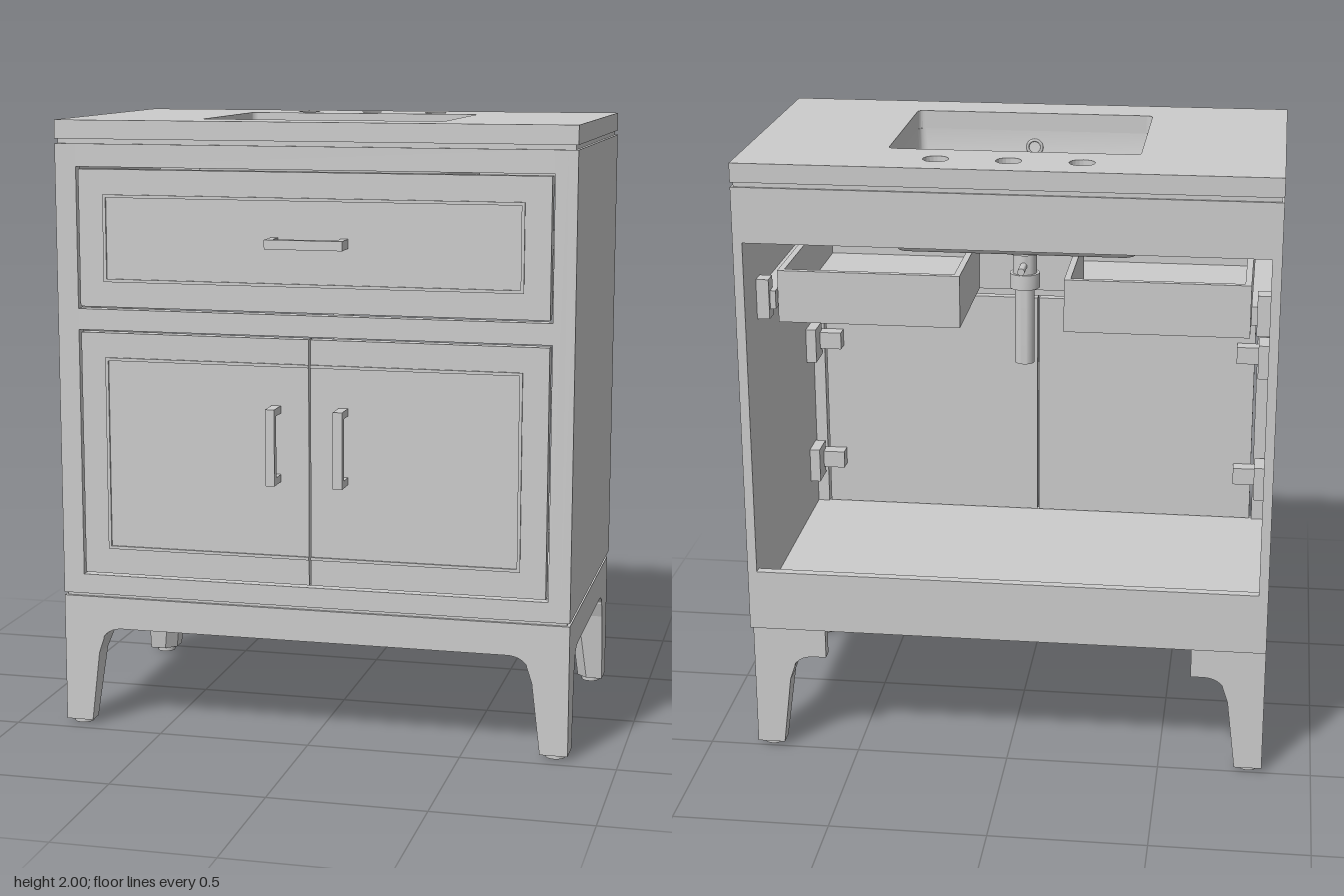
import * as THREE from 'three';
import { toCreasedNormals } from 'three/addons/utils/BufferGeometryUtils.js';

const grey = new THREE.MeshStandardMaterial({ color: 0xcccccc });
const W = 0.84, FRONT = 0.46, BACK = -0.54, LEG_BACK = -0.5;

export function createModel() {
  const model = new THREE.Group();
  const add = (name, geometry, x = 0, y = 0, z = 0) => {
    const mesh = new THREE.Mesh(geometry, grey);
    mesh.name = name;
    mesh.position.set(x, y, z);
    model.add(mesh);
    return mesh;
  };
  // Box given by its limits on each axis
  const box = (name, x0, x1, y0, y1, z0, z1) =>
    add(name, new THREE.BoxGeometry(x1 - x0, y1 - y0, z1 - z0), (x0 + x1) / 2, (y0 + y1) / 2, (z0 + z1) / 2);
  const cyl = (name, r, y0, y1, x, z, r2 = r) =>
    add(name, toCreasedNormals(new THREE.CylinderGeometry(r, r2, y1 - y0, 24), 0.6), x, (y0 + y1) / 2, z);
  const extrude = (shape, depth) => new THREE.ExtrudeGeometry(shape, { depth, bevelEnabled: false, curveSegments: 10 });
  // Horizontal slab from an x/z outline, its top at y = 0
  const slab = (shape, depth) => extrude(shape, depth).rotateX(Math.PI / 2);
  const roundRect = (hw, hd, r, cz) => {
    const pts = [];
    for (let q = 0; q < 4; q++) for (let i = 0; i <= 5; i++) {
      const a = (q + i / 5) * Math.PI / 2;
      const sx = q === 0 || q === 3 ? 1 : -1, sz = q < 2 ? 1 : -1;
      pts.push([sx * (hw - r) + r * Math.cos(a), cz + sz * (hd - r) + r * Math.sin(a)]);
    }
    return pts;
  };
  // Skin through closed rings of [x, z] points, each at its own height
  const loft = (rings, crease) => {
    const n = rings[0].pts.length, pos = [], idx = [];
    for (const { pts, y } of rings) for (const [x, z] of pts) pos.push(x, y, z);
    for (let j = 0; j < rings.length - 1; j++) for (let i = 0; i < n; i++) {
      const k = (i + 1) % n, a = j * n + i, b = j * n + k;
      idx.push(a, b, b + n, a, b + n, a + n);
    }
    const g = new THREE.BufferGeometry();
    g.setAttribute('position', new THREE.Float32BufferAttribute(pos, 3));
    g.setIndex(idx);
    return toCreasedNormals(g, crease);
  };
  const toShape = pts => new THREE.Shape(pts.map(([x, y]) => new THREE.Vector2(x, y)));

  // Countertop with basin cut-out and three tap holes
  const top = toShape([[-W, BACK], [W, BACK], [W, FRONT], [-W, FRONT]]);
  top.holes.push(new THREE.Path(roundRect(0.395, 0.29, 0.02, 0.01).map(p => new THREE.Vector2(...p))));
  for (const x of [-0.225, 0, 0.225]) top.holes.push(new THREE.Path().absarc(x, -0.41, 0.04, 0, Math.PI * 2));
  add('countertop', slab(top, 0.06), 0, 2, 0);

  // Basin: inside skin from drain to rim, then outside skin back down
  const basin = [
    [0.045, 0.045, 0.045, 1.67], [0.065, 0.065, 0.065, 1.685], [0.33, 0.23, 0.04, 1.692],
    [0.365, 0.262, 0.04, 1.70], [0.383, 0.279, 0.035, 1.73], [0.395, 0.29, 0.025, 1.94],
    [0.45, 0.325, 0.03, 1.94], [0.45, 0.325, 0.03, 1.92], [0.415, 0.31, 0.04, 1.91],
    [0.405, 0.3, 0.04, 1.70], [0.38, 0.275, 0.04, 1.665], [0.045, 0.045, 0.045, 1.65],
  ].map(([hw, hd, r, y]) => ({ pts: roundRect(hw, hd, r, 0.01), y }));
  add('basin', loft(basin, 0.7));
  const overflow = add('overflowRing', new THREE.TorusGeometry(0.024, 0.005, 8, 24), 0, 1.885, 0.296);
  overflow.rotation.y = Math.PI;

  // Drain and tailpipe
  add('drainRing', new THREE.TorusGeometry(0.055, 0.008, 8, 32).rotateX(Math.PI / 2), 0, 1.688, 0.01);
  cyl('drainStopper', 0.042, 1.66, 1.685, 0, 0.01);
  cyl('drainBody', 0.04, 1.5, 1.67, 0, 0.01);
  cyl('drainNut', 0.06, 1.6, 1.64, 0, 0.01);
  cyl('drainCollar', 0.05, 1.48, 1.53, 0, 0.01);
  cyl('tailPipe', 0.033, 1.22, 1.5, 0, 0.01);
  const rod = cyl('drainRod', 0.012, -0.05, 0.05, 0, 0);
  rod.rotation.x = Math.PI / 2;
  rod.position.set(0, 1.56, -0.05);

  // Cabinet carcass, open at the back
  for (const s of [-1, 1]) {
    const side = (name, a, b, ...rest) => box(name, Math.min(s * a, s * b), Math.max(s * a, s * b), ...rest);
    side('sidePanel', W - 0.03, W, 0.45, 1.925, BACK, FRONT);
    side('frontStile', 0.77, W - 0.03, 0.45, 1.925, 0.42, FRONT);
    side('sideTopSpacer', W - 0.03, W - 0.008, 1.925, 1.94, BACK + 0.008, FRONT - 0.008);
    side('sideBaseSpacer', W - 0.05, W - 0.01, 0.43, 0.46, LEG_BACK + 0.01, FRONT - 0.01);
    side('drawerSlide', 0.752, 0.81, 1.49, 1.55, -0.37, 0.42);
    side('slideBracket', 0.77, 0.81, 1.46, 1.59, -0.385, -0.33);
    for (const y of [0.7, 1.15]) {
      side('hingePlate', 0.775, 0.81, y - 0.06, y + 0.06, 0.3, 0.4);
      side('hingeArm', 0.7, 0.8, y - 0.03, y + 0.03, 0.37, 0.42);
    }
  }
  box('cabinetFloor', -0.81, 0.81, 0.49, 0.52, BACK + 0.02, 0.43);
  box('backBottomRail', -0.81, 0.81, 0.45, 0.65, BACK, BACK + 0.03);
  box('backTopRail', -0.81, 0.81, 1.75, 1.925, BACK, BACK + 0.03);
  box('backTopSpacer', -0.82, 0.82, 1.925, 1.94, BACK + 0.008, BACK + 0.03);
  box('frontTopSpacer', -0.82, 0.82, 1.925, 1.94, 0.42, FRONT - 0.008);
  box('frontBaseSpacer', -0.82, 0.82, 0.43, 0.46, 0.41, FRONT - 0.01);
  for (const [y0, y1] of [[0.45, 0.515], [1.328, 1.396], [1.852, 1.925]])
    box('frontRail', -0.77, 0.77, y0, y1, 0.42, FRONT);

  // Drawer front, doors and their thin raised mouldings
  const strip = (x0, x1, y0, y1) => box('moulding', x0, x1, y0, y1, FRONT - 0.005, FRONT + 0.006);
  const t = 0.01;
  box('drawerFront', -0.762, 0.762, 1.404, 1.845, 0.42, FRONT);
  for (const y of [1.49, 1.76]) strip(-0.68, 0.68, y - t / 2, y + t / 2);
  for (const s of [-1, 1]) {
    const c = s * 0.3825;
    box('door', c - 0.3795, c + 0.3795, 0.523, 1.32, 0.42, FRONT);
    for (const y of [0.612, 1.235]) strip(s * 0.3415 - 0.3385, s * 0.3415 + 0.3385, y - t / 2, y + t / 2);
    strip(s * 0.675 - t / 2, s * 0.675 + t / 2, 0.612, 1.235);
    strip(s * 0.675 - t / 2, s * 0.675 + t / 2, 1.49, 1.76);
  }

  // Bracket-shaped pulls
  const pull = (name, x, y, len, angle) => {
    const g = new THREE.Group();
    g.name = name;
    const part = (w, d, px, pz) => {
      const m = new THREE.Mesh(new THREE.BoxGeometry(w, 0.03, d), grey);
      m.position.set(px, 0, pz);
      g.add(m);
    };
    part(len, 0.024, 0, 0.068);
    for (const s of [-1, 1]) part(0.024, 0.06, s * (len / 2 - 0.012), 0.028);
    g.position.set(x, y, FRONT);
    g.rotation.z = angle;
    model.add(g);
  };
  pull('drawerPull', 0, 1.625, 0.25, 0);
  for (const s of [-1, 1]) pull('doorPull', s * 0.11, 0.982, 0.246, Math.PI / 2);

  // Drawer box notched around the drain
  const plan = [[-0.74, 0.42], [-0.74, -0.335], [-0.175, -0.335], [-0.175, 0.12],
    [0.175, 0.12], [0.175, -0.335], [0.74, -0.335], [0.74, 0.42]];
  add('drawerBottom', slab(toShape(plan), 0.02), 0, 1.46, 0);
  for (let i = 0; i < plan.length - 1; i++) {
    const [x0, z0] = plan[i], [x1, z1] = plan[i + 1], h = 0.01;
    box('drawerWall', Math.min(x0, x1) - h, Math.max(x0, x1) + h, 1.44, 1.61, Math.min(z0, z1) - h, Math.max(z0, z1) + h);
  }

  // Arched aprons of the base
  const apron = h => {
    const s = new THREE.Shape();
    s.moveTo(-h + 0.09, 0.44).lineTo(h - 0.09, 0.44).lineTo(h - 0.09, 0.2).lineTo(h - 0.11, 0.2).lineTo(h - 0.118, 0.26);
    s.quadraticCurveTo(h - 0.13, 0.335, h - 0.2, 0.335).lineTo(-h + 0.2, 0.335);
    s.quadraticCurveTo(-h + 0.13, 0.335, -h + 0.118, 0.26).lineTo(-h + 0.11, 0.2).lineTo(-h + 0.09, 0.2);
    return extrude(s, 0.05);
  };
  add('frontApron', apron(W), 0, 0, FRONT - 0.05);
  const halfDepth = (FRONT - LEG_BACK) / 2, midZ = (FRONT + LEG_BACK) / 2;
  for (const s of [-1, 1])
    add('sideApron', apron(halfDepth).rotateY(Math.PI / 2), s > 0 ? W - 0.05 : -W, 0, midZ);

  // Tapered legs with a chamfered inner corner, feet and corner braces
  for (const sx of [-1, 1]) for (const sz of [-1, 1]) {
    const zc = sz > 0 ? FRONT : LEG_BACK;
    const ring = (w, y, c = 0.035) => {
      const pts = [[0, 0], [w, 0], [w, w - c], [w - c, w], [0, w]].map(([u, v]) => [sx * (W - u), zc - sz * v]);
      return { pts: sx * sz > 0 ? pts : pts.reverse(), y };
    };
    const cap = y => ({ pts: Array(5).fill([sx * (W - 0.045), zc - sz * 0.045]), y });
    add('leg', loft([cap(0.44), ring(0.135, 0.44), ring(0.135, 0.3), ring(0.118, 0.25), ring(0.09, 0.015), cap(0.015)], 0.2));
    cyl('foot', 0.032, 0, 0.02, sx * (W - 0.045), zc - sz * 0.045);
    const brace = toShape([[0.04, 0.04], [0.24, 0.04], [0.04, 0.24]].map(([u, v]) => [sx * (W - u), zc - sz * v]));
    add('cornerBrace', slab(brace, 0.09), 0, 0.44, 0);
  }

  // Short brackets beside the rear legs
  for (const s of [-1, 1]) {
    const b = new THREE.Shape();
    b.moveTo(s * 0.75, 0.44).lineTo(s * 0.6, 0.44).lineTo(s * 0.6, 0.335).lineTo(s * 0.64, 0.335);
    b.quadraticCurveTo(s * 0.71, 0.335, s * 0.722, 0.26).lineTo(s * 0.75, 0.26);
    add('rearBracket', extrude(b, 0.04), 0, 0, LEG_BACK);
  }

  // Glue blocks and cleats behind the aprons
  for (const x of [-0.52, 0, 0.52]) box('glueBlock', x - 0.06, x + 0.06, 0.36, 0.49, 0.35, 0.42);
  for (const s of [-1, 1]) {
    box('frontCleat', s * 0.26 - 0.15, s * 0.26 + 0.15, 0.4, 0.45, 0.385, 0.42);
    box('sideCleat', s * 0.78 - 0.02, s * 0.78 + 0.02, 0.4, 0.45, -0.2, 0.16);
  }
  return model;
}
